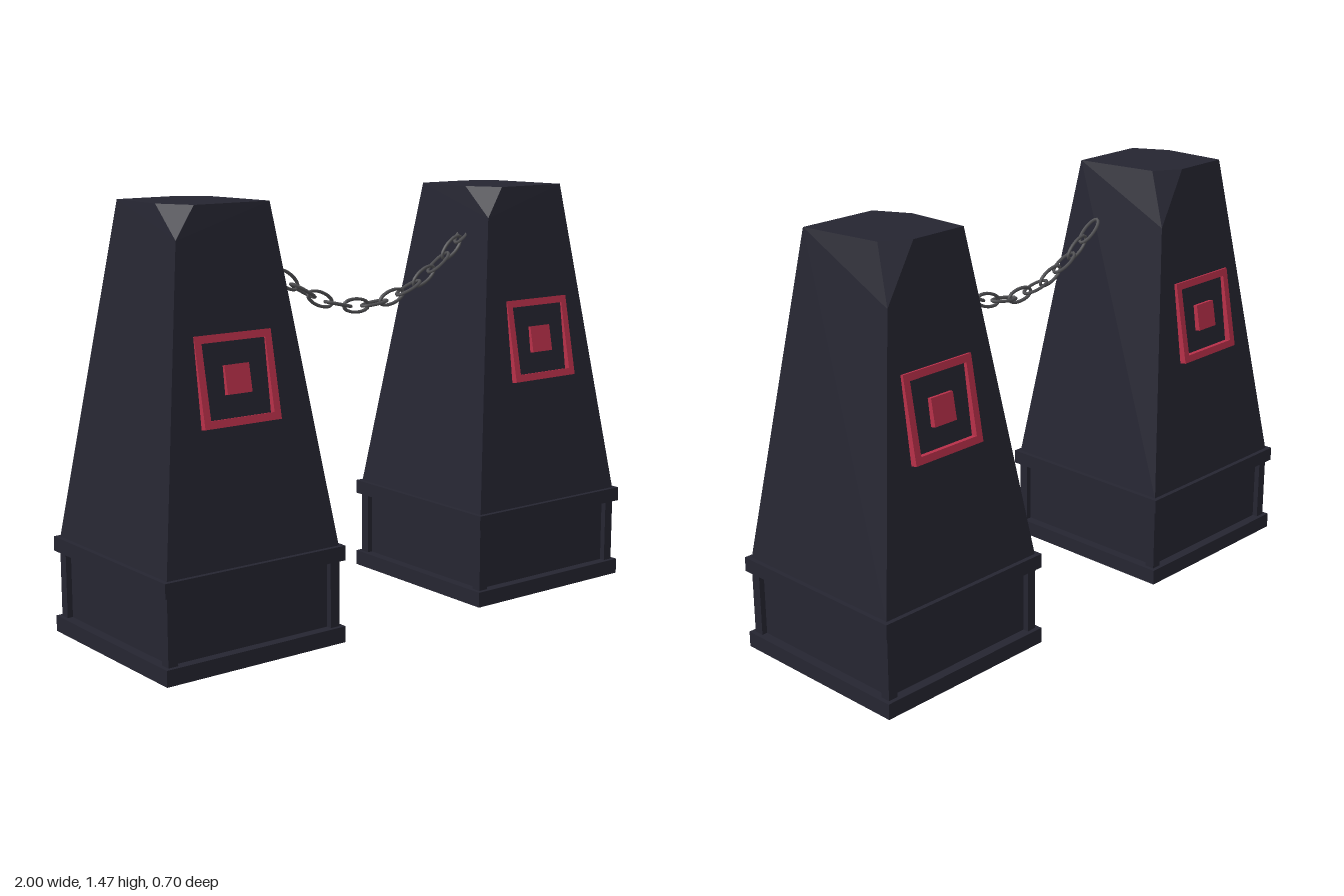
import * as THREE from 'three';
import { ConvexGeometry } from 'three/addons/geometries/ConvexGeometry.js';

const stone = new THREE.MeshStandardMaterial({ color: 0x252531 });
stone.name = 'dark stone';
const red = new THREE.MeshStandardMaterial({ color: 0xb83049 });
red.name = 'red emblem';
const iron = new THREE.MeshStandardMaterial({ color: 0x505053 });
iron.name = 'chain iron';

function add(parent, name, geometry, material, x = 0, y = 0, z = 0) {
  const mesh = new THREE.Mesh(geometry, material);
  mesh.name = name;
  mesh.position.set(x, y, z);
  parent.add(mesh);
  return mesh;
}

function square(PathType, half) {
  return new PathType([
    new THREE.Vector2(-half, -half), new THREE.Vector2(half, -half),
    new THREE.Vector2(half, half), new THREE.Vector2(-half, half),
  ]);
}

// Square frame with a smaller square in the middle, outer face at z = 0
function createEmblem(name) {
  const emblem = new THREE.Group();
  emblem.name = name;
  const depth = 0.024;
  const frame = square(THREE.Shape, 0.146);
  frame.holes.push(square(THREE.Path, 0.121));
  const frameGeometry = new THREE.ExtrudeGeometry(frame, { depth, bevelEnabled: false });
  add(emblem, 'emblemFrame', frameGeometry, red, 0, 0, -depth);
  add(emblem, 'emblemCentre', new THREE.BoxGeometry(0.094, 0.094, depth), red, 0, 0, -depth / 2);
  return emblem;
}

function createPillar(name, side) {
  const pillar = new THREE.Group();
  pillar.name = name;
  pillar.position.x = side * 0.65;

  // Plinth: two slabs, recessed core and corner posts
  add(pillar, 'bottomSlab', new THREE.BoxGeometry(0.7, 0.055, 0.7), stone, 0, 0.0275, 0);
  add(pillar, 'topSlab', new THREE.BoxGeometry(0.7, 0.05, 0.7), stone, 0, 0.308, 0);
  add(pillar, 'plinthCore', new THREE.BoxGeometry(0.63, 0.23, 0.63), stone, 0, 0.169, 0);
  for (const x of [-1, 1]) {
    for (const z of [-1, 1]) {
      add(pillar, 'cornerPost', new THREE.BoxGeometry(0.036, 0.23, 0.036), stone, x * 0.317, 0.169, z * 0.317);
    }
  }

  // Tapered shaft with two chipped top corners
  const points = [
    [-0.334, 0.33, -0.334], [0.334, 0.33, -0.334], [0.334, 0.33, 0.334], [-0.334, 0.33, 0.334],
    [-0.174, 1.465, -0.178], [0.04, 1.465, -0.178], [0.135, 1.465, -0.12],
    [0.178, 1.465, 0.177], [-0.11, 1.465, 0.177], [-0.174, 1.465, 0.055],
    [0.178, 1.28, -0.205], [-0.19, 1.36, 0.195],
  ].map((p) => new THREE.Vector3(...p));
  add(pillar, 'shaft', new ConvexGeometry(points), stone);

  // Emblems on the front and back slopes
  const front = createEmblem('frontEmblem');
  front.position.set(side * 0.012, 0.922, 0.267);
  front.rotation.x = -0.2;
  const back = createEmblem('backEmblem');
  back.position.set(side * 0.012, 0.93, -0.27);
  back.rotation.set(-0.18, Math.PI, 0, 'YXZ');
  pillar.add(front, back);
  return pillar;
}

// Hanging chain of links that alternate between two planes
function createChain() {
  const chain = new THREE.Group();
  chain.name = 'chain';
  const sag = (x) => 1.077 + 1.06 * x * x;
  const samples = [];
  for (let i = 0; i <= 20; i++) {
    const x = -0.5 + i * 0.05;
    samples.push(new THREE.Vector3(x, sag(x), 0.064));
  }
  const path = new THREE.CatmullRomCurve3(samples);
  const length = path.getLength();

  const oval = [];
  for (let i = 0; i < 12; i++) {
    const a = (i / 12) * Math.PI * 2;
    oval.push(new THREE.Vector3(0.055 * Math.cos(a), 0.023 * Math.sin(a), 0));
  }
  const linkGeometry = new THREE.TubeGeometry(new THREE.CatmullRomCurve3(oval, true), 24, 0.006, 6, true);

  for (let k = -5; k <= 7; k++) {
    const u = (length / 2 - 0.03 + k * 0.08) / length;
    const p = path.getPointAt(u);
    const t = path.getTangentAt(u);
    const link = add(chain, 'chainLink', linkGeometry, iron, p.x, p.y, p.z);
    const twist = k % 2 === 0 ? 0 : Math.PI / 2;
    link.rotation.set(twist, 0, Math.atan2(t.y, t.x), 'ZYX');
  }
  return chain;
}

export function createModel() {
  const model = new THREE.Group();
  model.name = 'chainedPillars';
  model.add(createPillar('rightPillar', -1), createPillar('leftPillar', 1), createChain());
  return model;
}
